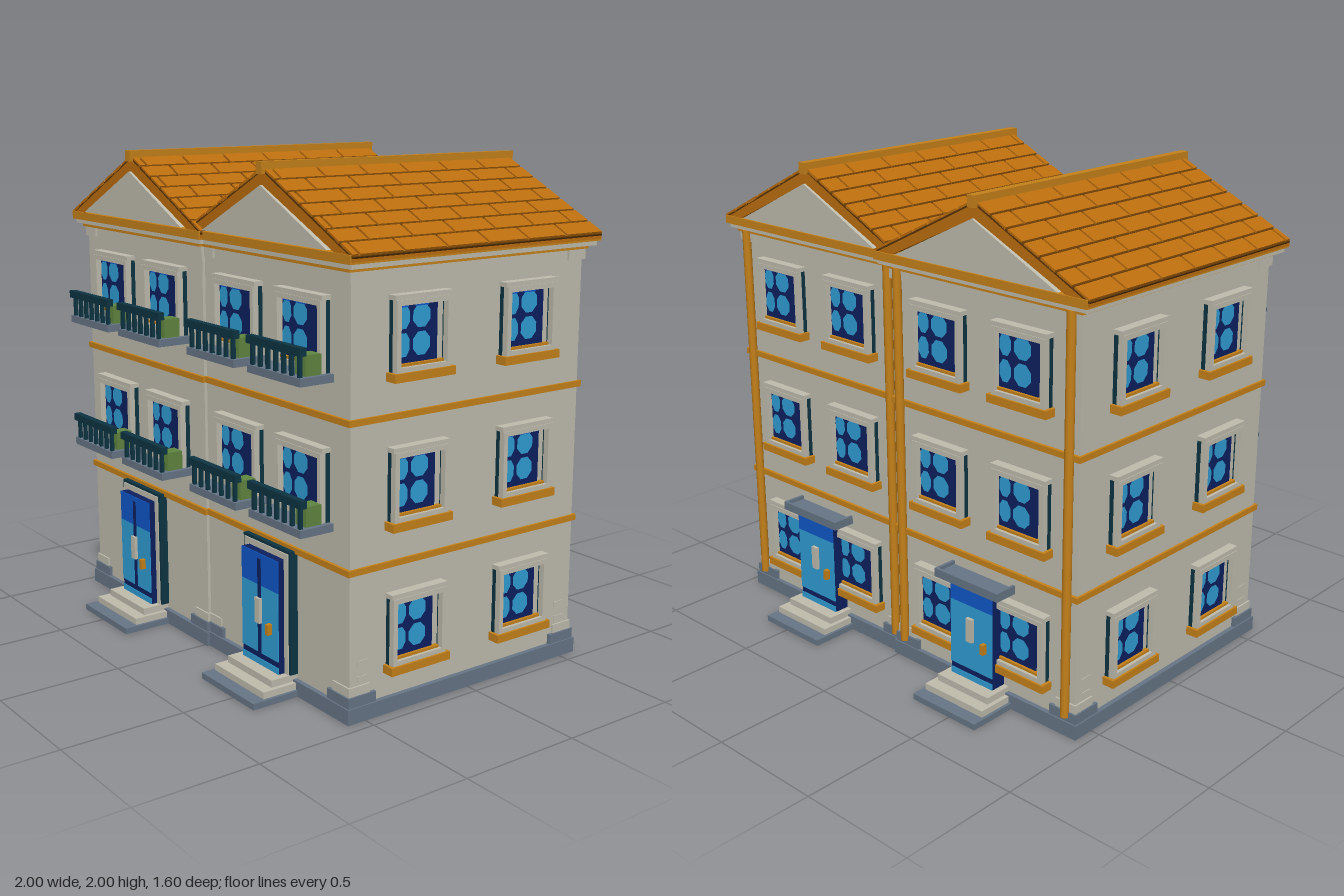
import * as THREE from 'three';
import { mergeGeometries } from 'three/addons/utils/BufferGeometryUtils.js';

const mat = (name, color, opts = {}) => {
  const m = new THREE.MeshStandardMaterial({ color, ...opts });
  m.name = name;
  return m;
};
const M = {
  wall: mat('stone cream', 0xbfbcad),
  grey: mat('slate grey', 0x667585),
  roof: mat('tile orange', 0xbb6d0e),
  trim: mat('ochre trim', 0xc5811a),
  joint: mat('joint brown', 0x5c3406),
  teal: mat('dark teal', 0x0d3442),
  navy: mat('navy', 0x0d205f),
  blue: mat('deep blue', 0x1056c8),
  sky: mat('sky blue', 0x2f9dd4),
  green: mat('planter green', 0x5f8540),
};

function add(parent, name, geo, material) {
  const m = new THREE.Mesh(geo, material);
  m.name = name;
  parent.add(m);
  return m;
}

// Box given by its minimum and maximum corners
function box(parent, name, material, x0, x1, y0, y1, z0, z1) {
  const g = new THREE.BoxGeometry(x1 - x0, y1 - y0, z1 - z0);
  g.translate((x0 + x1) / 2, (y0 + y1) / 2, (z0 + z1) / 2);
  return add(parent, name, g, material);
}

function group(parent, name, x = 0, y = 0, z = 0, ry = 0) {
  const g = new THREE.Group();
  g.name = name;
  g.position.set(x, y, z);
  g.rotation.y = ry;
  parent.add(g);
  return g;
}

// Rectangular ring, extruded outwards from z0
function ring(parent, name, material, w, y0, y1, t, z0, depth) {
  const s = new THREE.Shape([[-w / 2, y0], [w / 2, y0], [w / 2, y1], [-w / 2, y1]].map(p => new THREE.Vector2(...p)));
  const a = w / 2 - t;
  s.holes.push(new THREE.Path([[-a, y0 + t], [-a, y1 - t], [a, y1 - t], [a, y0 + t]].map(p => new THREE.Vector2(...p))));
  const g = new THREE.ExtrudeGeometry(s, { depth, bevelEnabled: false });
  g.translate(0, 0, z0);
  return add(parent, name, g, material);
}

// Window facing +z, with y = 0 at the underside of its sill
function makeWindow(g, w, balcony) {
  const h = w / 2;
  ring(g, 'windowSurround', M.teal, w - 0.01, 0.03, 0.295, 0.02, 0, 0.018);
  ring(g, 'windowFrame', M.wall, w - 0.012, 0.03, 0.29, 0.02, 0.018, 0.025);
  box(g, 'windowLintel', M.wall, -h, h, 0.29, 0.308, 0, 0.04);
  box(g, 'windowReveal', M.wall, -h + 0.02, h - 0.02, 0.04, 0.28, 0, 0.012);
  const x0 = -h + 0.022, x1 = h - 0.055;
  box(g, 'glass', M.navy, x0, x1, 0.045, 0.285, 0.01, 0.018);
  box(g, 'innerSill', M.trim, x0, h - 0.03, 0.04, 0.06, 0.01, 0.03);
  // Bright rounded panes, with a deeper blue cap on the upper pair
  for (const y of [0.125, 0.225]) {
    for (const [dx, rx] of [[0.034, 0.03], [0.117, 0.044]]) {
      const c = new THREE.CircleGeometry(1, 8, Math.PI / 8);
      c.scale(rx, 0.046, 1);
      c.translate(x0 + dx, y, 0.0195);
      add(g, 'pane', c, M.sky);
      if (y > 0.2) box(g, 'paneShade', M.blue, x0 + dx - rx * 0.7, x0 + dx + rx * 0.7, 0.26, 0.278, 0.0185, 0.0215);
    }
  }
  if (!balcony) {
    box(g, 'windowSill', M.trim, -h - 0.008, h + 0.008, 0, 0.032, 0, 0.052);
    return;
  }
  // Shallow balcony with railing and planter
  const b = h + 0.017;
  box(g, 'balconySlab', M.grey, -b, b, 0, 0.03, 0, 0.148);
  box(g, 'balconyRail', M.teal, -b - 0.004, b + 0.004, 0.108, 0.138, 0.122, 0.15);
  for (let i = 0; i < 7; i++) {
    const x = -b + 0.02 + i * (2 * b - 0.04) / 6;
    box(g, 'baluster', M.teal, x - 0.007, x + 0.007, 0.03, 0.11, 0.128, 0.142);
  }
  box(g, 'planter', M.green, h - 0.065, h - 0.002, 0.03, 0.105, 0.04, 0.11);
}

// Steps and door facing +z, with y = 0 at the ground and z = 0 on the wall
function makeDoor(g, w, top, back) {
  const h = w / 2, sw = back ? 0.165 : 0.18;
  box(g, 'lowerStep', M.grey, -sw, sw, 0, 0.025, 0, 0.225);
  box(g, 'middleStep', M.wall, -sw + 0.012, sw - 0.012, 0.025, 0.052, 0, 0.17);
  box(g, 'upperStep', M.wall, -sw + 0.03, sw - 0.03, 0.052, 0.08, 0, 0.12);
  const d = h - (back ? 0 : 0.034), t = top - (back ? 0 : 0.04), z = 0.065;
  if (!back) {
    ring(g, 'doorSurround', M.teal, w, 0.08, top, 0.012, 0, 0.035);
    ring(g, 'doorFrame', M.wall, w - 0.022, 0.08, top - 0.011, 0.024, 0, 0.04);
  }
  box(g, 'doorLeaf', M.navy, -d, d, 0.08, t, 0, z);
  box(g, 'lowerGlass', M.sky, -d, d, 0.13, 0.405, z, z + 0.004);
  box(g, 'upperGlass', M.blue, -d, d, 0.405, t, z, z + 0.004);
  box(g, 'doorFoot', M.sky, -d, d, 0.08, 0.105, z, z + 0.003);
  if (!back) box(g, 'doorSplit', M.navy, -0.01, 0.01, 0.13, t - 0.02, z, z + 0.007);
  box(g, 'doorPlate', M.wall, -0.016, 0.016, 0.255, 0.355, z, z + 0.018);
  box(g, 'doorHandle', M.trim, 0.065, 0.083, 0.23, 0.272, z, z + 0.025);
  if (back) {
    box(g, 'canopy', M.grey, -0.165, 0.165, 0.49, 0.51, 0, 0.1);
    const rim = 0.012;
    box(g, 'canopyRim', M.grey, -0.165, 0.165, 0.51, 0.525, 0.1 - rim, 0.1);
    for (const s of [-1, 1]) box(g, 'canopyRim', M.grey, s * 0.159 - 0.006, s * 0.159 + 0.006, 0.51, 0.525, 0, 0.1 - rim);
  }
}

function makeRoof(p) {
  const e = 0.53, ze = 0.612, eave = 1.69, ridge = 1.965;
  const chevron = new THREE.Shape([[-e, eave], [-e + 0.05, eave], [0, 1.915], [e - 0.05, eave], [e, eave], [e, eave + 0.012], [0, ridge], [-e, eave + 0.012]].map(v => new THREE.Vector2(...v)));
  const slab = new THREE.ExtrudeGeometry(chevron, { depth: ze * 2, bevelEnabled: false });
  slab.translate(0, 0, -ze);
  add(p, 'bargeBoards', slab, M.roof);
  const tri = new THREE.Shape([[-0.4, 1.72], [0.4, 1.72], [0, 1.915]].map(v => new THREE.Vector2(...v)));
  const gable = new THREE.ExtrudeGeometry(tri, { depth: 1.246, bevelEnabled: false });
  gable.translate(0, 0, -0.623);
  add(p, 'gable', gable, M.wall);
  // Staggered tiles on both slopes over a dark bed
  const rise = ridge - eave - 0.012, L = Math.hypot(e, rise), rows = 7, rl = L / rows, tl = 0.2;
  for (const s of [-1, 1]) {
    const slope = group(p, 'roofSlope', 0, ridge, 0);
    slope.rotation.z = s * -Math.atan2(rise, e);
    const [a, b] = s > 0 ? [0, L] : [-L, 0];
    box(slope, 'tileBed', M.joint, a, b, 0, 0.007, -ze, ze);
    const parts = [];
    for (let r = 0; r < rows; r++) {
      for (let z = -ze - (r % 2) * tl / 2; z < ze - 0.01; z += tl) {
        const z0 = Math.max(z, -ze), z1 = Math.min(z + tl - 0.011, ze);
        if (z1 - z0 < 0.02) continue;
        const t = new THREE.BoxGeometry(rl - 0.011, 0.012, z1 - z0);
        t.translate(s * (r + 0.5) * rl, 0.009, (z0 + z1) / 2);
        parts.push(t);
      }
    }
    add(slope, 'roofTiles', mergeGeometries(parts), M.roof);
  }
  box(p, 'ridgeCap', M.trim, -0.018, 0.018, 1.955, 2, -0.628, 0.628);
}

// One house; side is the sign of its free side wall
function makeHouse(parent, name, x, side, zScale) {
  const p = group(parent, name, x);
  p.scale.z = zScale;
  box(p, 'plinth', M.grey, -0.49, 0.49, 0, 0.06, -0.59, 0.59);
  box(p, 'walls', M.wall, -0.47, 0.47, 0.06, 1.67, -0.57, 0.57);
  for (const y of [0.56, 1.108]) box(p, 'stringCourse', M.trim, -0.48, 0.48, y, y + 0.024, -0.583, 0.583);
  box(p, 'lowerCornice', M.trim, -0.485, 0.485, 1.65, 1.664, -0.59, 0.59);
  box(p, 'cornice', M.wall, -0.515, 0.515, 1.664, 1.688, -0.605, 0.605);
  box(p, 'eavesBand', M.trim, -0.525, 0.525, 1.682, 1.715, -0.618, 0.618);

  // Corner bases, quoins and capitals
  for (const sx of [-1, 1]) for (const sz of [-1, 1]) {
    const c = group(p, 'corner', sx * 0.42, 0, sz * 0.52);
    const block = (n, m, w, y0, y1, o) => {
      const cx = sx * (0.05 + o - w / 2), cz = sz * (0.05 + o - w / 2);
      box(c, n, m, cx - w / 2, cx + w / 2, y0, y1, cz - w / 2, cz + w / 2);
    };
    block('cornerBase', M.grey, 0.13, 0.06, 0.1, 0.014);
    block('cornerBlock', M.wall, 0.1, 0.1, 0.135, 0.007);
    for (const y of [0.15, 0.21]) box(c, 'quoin', M.wall, sx * 0.02 - 0.033, sx * 0.02 + 0.033, y, y + 0.02, sz * -0.01 - 0.025, sz * -0.01 + 0.025);
    block('capital', M.wall, 0.09, 1.61, 1.65, 0.01);
  }

  const floors = [0.155, 0.703, 1.25];
  floors.forEach((y, f) => {
    for (const s of [-1, 1]) {
      if (f > 0) makeWindow(group(p, 'frontWindow', s * 0.209, y, 0.57), 0.295, true);
      makeWindow(group(p, 'backWindow', s * 0.209, y, -0.57, Math.PI), 0.27, false);
      makeWindow(group(p, 'sideWindow', side * 0.47, y, s * 0.268, side * Math.PI / 2), 0.27, false);
    }
  });
  makeDoor(group(p, 'frontDoor', -0.003, 0, 0.57), 0.31, 0.57, false);
  makeDoor(group(p, 'backDoor', 0, 0, -0.57, Math.PI), 0.22, 0.49, true);

  // Rain pipes on the back corners
  for (const s of [-1, 1]) {
    const pipe = new THREE.CylinderGeometry(0.018, 0.018, 1.58, 10);
    pipe.translate(s * 0.432, 0.87, -0.585);
    add(p, 'drainPipe', pipe, M.trim);
  }
  makeRoof(p);
}

export function createModel() {
  const model = new THREE.Group();
  model.name = 'twinHouses';
  makeHouse(model, 'rightHouse', -0.47, -1, 1.006);
  makeHouse(model, 'leftHouse', 0.462, 1, 0.984);
  return model;
}
